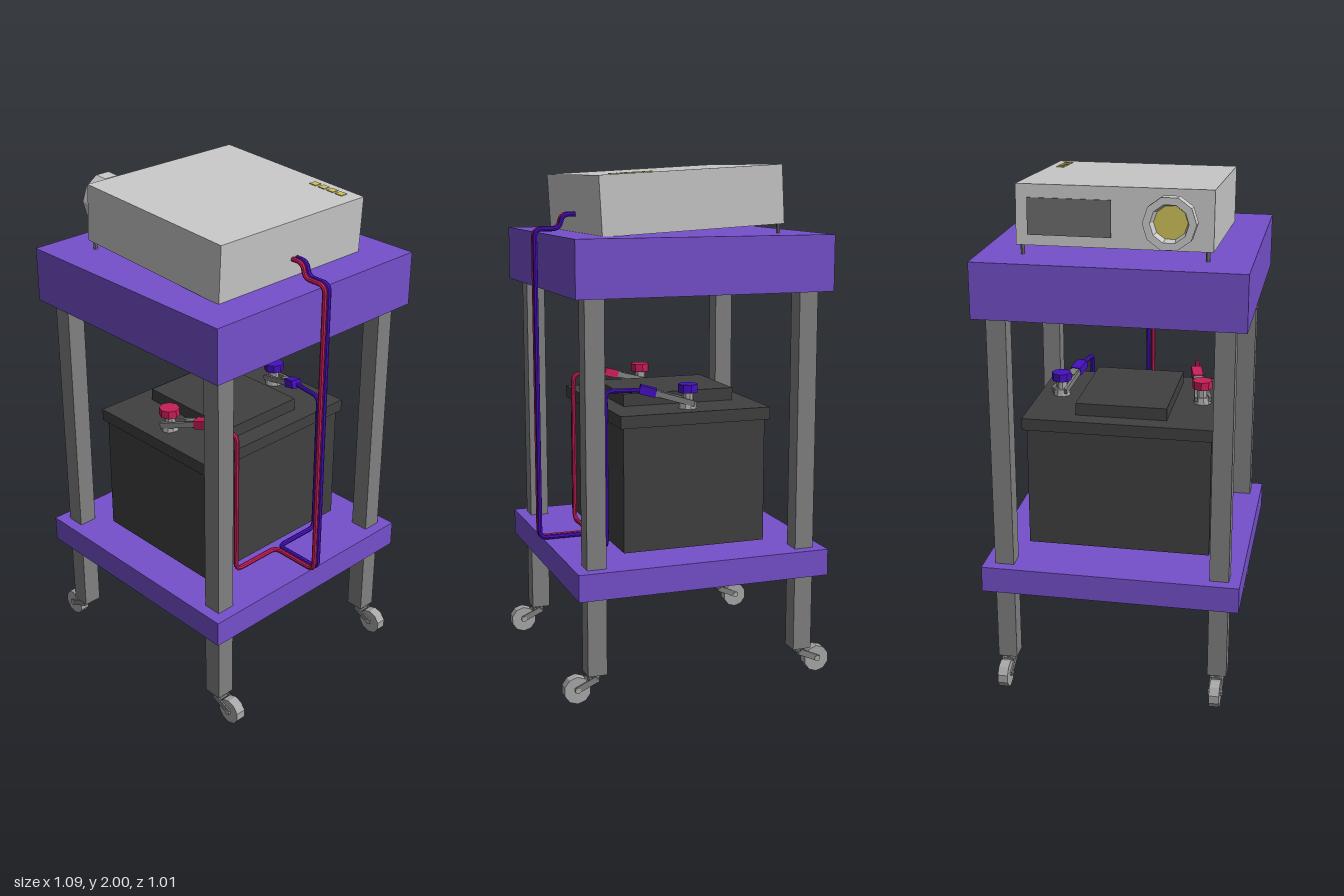
import * as THREE from 'three';

const mat = (name, color, flat = true) => {
  const m = new THREE.MeshStandardMaterial({ color, flatShading: flat });
  m.name = name;
  return m;
};

export function createModel() {
  const purple = mat('purple', 0x7550cc);
  const casing = mat('light grey casing', 0xc8c8c8);
  const steel = mat('steel grey', 0x808080);
  const wheelGrey = mat('wheel grey', 0xa8a8a8);
  const black = mat('battery black', 0x404040);
  const ventGrey = mat('vent grey', 0x6c6c6c);
  const yellow = mat('yellow', 0xccc05a);
  const red = mat('red', 0xc81e58);
  const blue = mat('blue', 0x4410c0);

  const model = new THREE.Group();
  model.name = 'projectorCart';

  const add = (parent, name, geo, material, x = 0, y = 0, z = 0) => {
    const mesh = new THREE.Mesh(geo, material);
    mesh.name = name;
    mesh.position.set(x, y, z);
    parent.add(mesh);
    return mesh;
  };
  const box = (parent, name, material, w, h, d, x, y, z) =>
    add(parent, name, new THREE.BoxGeometry(w, h, d), material, x, y, z);
  const cyl = (parent, name, material, rTop, rBottom, h, sides, x, y, z) =>
    add(parent, name, new THREE.CylinderGeometry(rTop, rBottom, h, sides), material, x, y, z);
  const group = (parent, name) => {
    const g = new THREE.Group();
    g.name = name;
    parent.add(g);
    return g;
  };

  // Shelves
  box(model, 'topShelf', purple, 1.01, 0.213, 1.01, 0, 1.636, 0);
  box(model, 'lowerShelf', purple, 1.01, 0.104, 1.01, 0, 0.471, 0);

  // Legs with outward-trailing casters
  for (const sx of [-1, 1]) for (const sz of [-1, 1]) {
    box(model, 'leg', steel, 0.075, 1.43, 0.075, sx * 0.423, 0.823, sz * 0.423);
    const caster = group(model, 'caster');
    caster.position.set(sx * 0.423, 0, sz * 0.423);
    caster.rotation.y = sx > 0 ? 0 : Math.PI;
    cyl(caster, 'casterSwivel', steel, 0.02, 0.02, 0.025, 8, 0, 0.099, 0);
    box(caster, 'forkBridge', steel, 0.034, 0.014, 0.054, 0.008, 0.085, 0);
    for (const side of [-1, 1]) {
      const plate = box(caster, 'forkPlate', steel, 0.09, 0.024, 0.006, 0.04, 0.072, side * 0.024);
      plate.rotation.z = -0.42;
    }
    cyl(caster, 'wheel', wheelGrey, 0.053, 0.053, 0.04, 10, 0.074, 0.053, 0).rotation.x = Math.PI / 2;
    cyl(caster, 'axle', wheelGrey, 0.012, 0.012, 0.058, 8, 0.074, 0.055, 0).rotation.x = Math.PI / 2;
  }

  // Battery
  const battery = group(model, 'battery');
  box(battery, 'batteryBody', black, 0.575, 0.49, 0.725, -0.003, 0.79, 0);
  box(battery, 'batteryLid', black, 0.605, 0.048, 0.757, -0.003, 1.054, 0);
  box(battery, 'batteryHump', black, 0.455, 0.05, 0.36, -0.003, 1.102, 0);

  // Cable with rounded corners through a few points
  const cable = (name, material, points) => {
    const p = points.map((q) => new THREE.Vector3(...q));
    const path = new THREE.CurvePath();
    let start = p[0];
    for (let i = 1; i < p.length - 1; i++) {
      const trim = (end) => {
        const d = end.clone().sub(p[i]);
        return p[i].clone().addScaledVector(d, Math.min(0.03, d.length() * 0.45) / d.length());
      };
      const a = trim(p[i - 1]);
      const b = trim(p[i + 1]);
      path.add(new THREE.LineCurve3(start, a));
      path.add(new THREE.QuadraticBezierCurve3(a, p[i], b));
      start = b;
    }
    path.add(new THREE.LineCurve3(start, p[p.length - 1]));
    add(model, name, new THREE.TubeGeometry(path, 320, 0.0095, 8), material);
  };

  // Terminal post, cap, clamp and cable for each pole
  for (const [side, colour, label, lane] of [[1, red, 'red', 0.002], [-1, blue, 'blue', -0.019]]) {
    const z = side * 0.288;
    cyl(battery, label + 'TerminalBase', wheelGrey, 0.03, 0.036, 0.03, 10, 0, 1.09, z);
    cyl(battery, label + 'TerminalPost', wheelGrey, 0.022, 0.022, 0.06, 10, 0, 1.115, z);
    cyl(battery, label + 'TerminalCap', colour, 0.04, 0.04, 0.032, 8, 0, 1.156, z);

    const clamp = group(battery, label + 'Clamp');
    clamp.position.set(0, 1.105, z);
    clamp.rotation.set(0, side * 0.27, 0.26, 'YZX');
    for (const s of [-1, 1]) {
      box(clamp, 'clampJaw', steel, 0.17, 0.022, 0.012, 0.06, 0, s * 0.02).rotation.y = s * 0.1;
    }
    box(clamp, 'clampBridge', steel, 0.045, 0.028, 0.03, 0.105, 0, 0);
    box(clamp, 'clampGrip', colour, 0.065, 0.034, 0.042, 0.16, 0, 0);

    const end = side * 0.225;
    cable(label + 'Cable', colour, [
      [0.35, 1.812, lane], [0.415, 1.812, lane], [0.427, 1.757, lane], [0.525, 1.757, lane],
      [0.525, 0.537, lane], [0.312, 0.537, lane], [0.312, 0.537, end], [0.312, 1.15, end],
      [0.16, 1.15, side * 0.245],
    ]);
  }

  // Projector, tipped up towards its lens
  const projector = group(model, 'projector');
  projector.position.set(0.006, 1.87, 0);
  projector.rotation.z = -0.055;
  box(projector, 'projectorCase', casing, 0.722, 0.222, 0.726, 0, 0, 0);
  box(projector, 'vent', ventGrey, 0.008, 0.135, 0.31, -0.362, -0.005, -0.165);
  for (let i = 0; i < 4; i++) {
    box(projector, 'button', yellow, 0.031, 0.004, 0.031, 0.16 + i * 0.0435, 0.112, -0.315);
  }

  // Stepped lens barrel with a recessed glass
  const lens = group(projector, 'lens');
  lens.position.set(-0.355, 0, 0.215);
  lens.rotation.z = Math.PI / 2;
  const barrel = [[0.087, 0], [0.087, 0.048], [0.097, 0.048], [0.097, 0.102], [0.07, 0.102], [0.06, 0.06]];
  add(lens, 'lensBarrel',
    new THREE.LatheGeometry(barrel.map(([r, y]) => new THREE.Vector2(r, y)), 10), casing);
  cyl(lens, 'lensGlass', yellow, 0.063, 0.063, 0.008, 10, 0, 0.062, 0);

  // Front feet of the projector
  for (const s of [-1, 1]) {
    cyl(model, 'projectorFoot', steel, 0.008, 0.008, 0.055, 8, -0.345, 1.767, s * 0.342);
  }
  return model;
}
